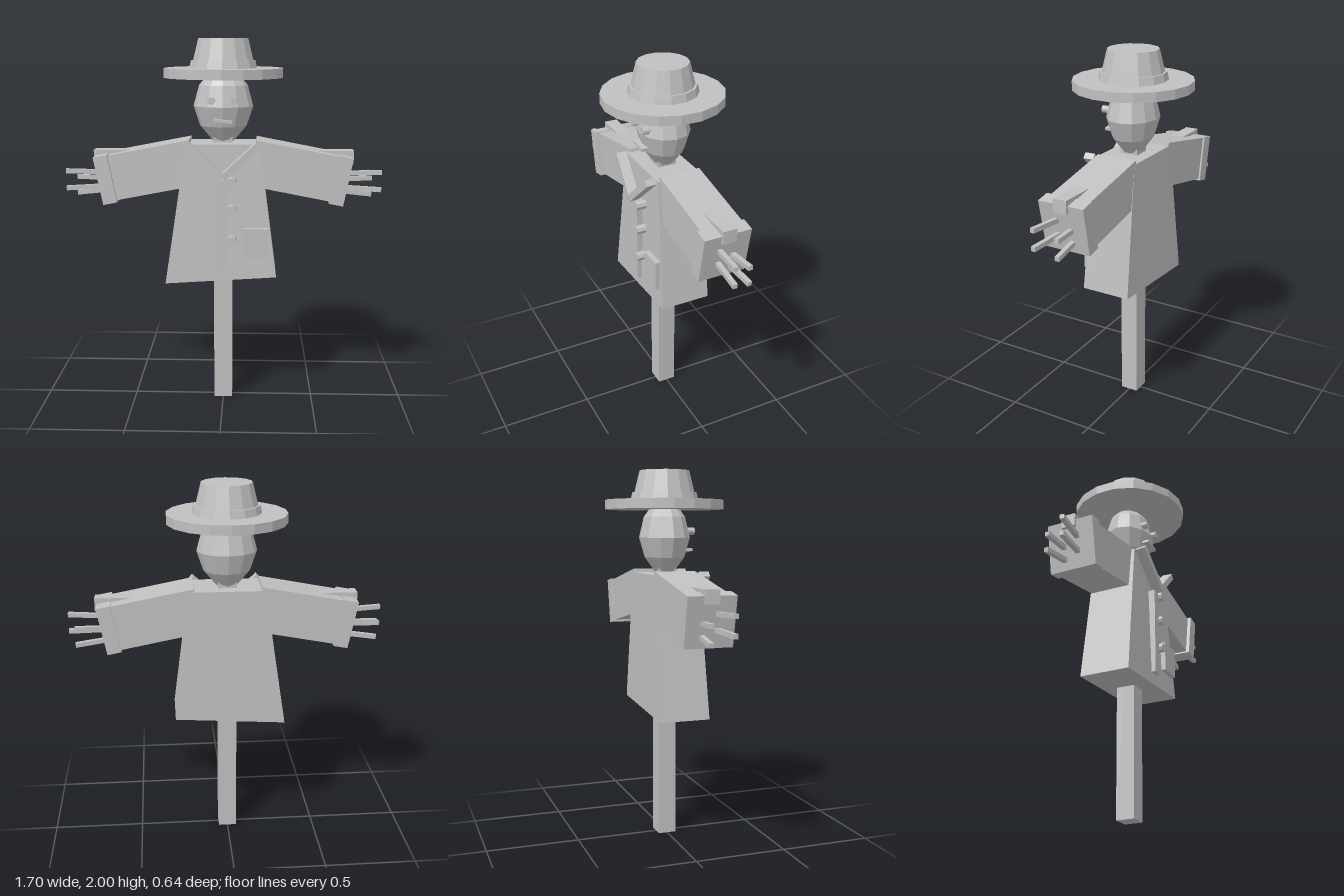
import * as THREE from 'three';

const grey = new THREE.MeshStandardMaterial({ color: 0xc0c0c0, flatShading: true });
grey.name = 'plain grey';

export function createModel() {
  const root = new THREE.Group();
  root.name = 'scarecrow';

  const add = (name, geometry, x = 0, y = 0, z = 0) => {
    const mesh = new THREE.Mesh(geometry, grey);
    mesh.name = name;
    mesh.position.set(x, y, z);
    root.add(mesh);
    return mesh;
  };
  const box = (name, w, h, d, x, y, z) => add(name, new THREE.BoxGeometry(w, h, d), x, y, z);

  // Square bar running from point a to point b
  const beam = (name, a, b, depth, width) => {
    const from = new THREE.Vector3(...a), to = new THREE.Vector3(...b);
    const mid = from.clone().add(to).multiplyScalar(0.5);
    const mesh = box(name, depth, width, from.distanceTo(to), mid.x, mid.y, mid.z);
    mesh.lookAt(to);
    return mesh;
  };

  // Short disc facing forward
  const disc = (name, r, depth, x, y, z, sides) =>
    add(name, new THREE.CylinderGeometry(r, r, depth, sides).rotateX(Math.PI / 2), x, y, z);

  // Wooden frame
  box('post', 0.1, 1.5, 0.1, 0, 0.75, 0);
  box('crossbar', 1.4, 0.07, 0.075, 0, 1.375, -0.003);

  // Coat: flared body with a crooked hem
  const coat = new THREE.BoxGeometry(2, 2, 2);
  const p = coat.attributes.position;
  for (let i = 0; i < p.count; i++) {
    const x = p.getX(i), top = p.getY(i) > 0, front = p.getZ(i) > 0;
    if (top) p.setXYZ(i, 0.195 * x, 1.453, front ? 0.125 : -0.118);
    else p.setXYZ(i, 0.3 * x - 0.01, 0.715 + 0.02 * x, front ? 0.145 : -0.13);
  }
  coat.computeVertexNormals();
  add('coat', coat);

  // Coat front: placket, buttons, pocket
  box('placket', 0.048, 0.49, 0.04, 0, 1.025, 0.147);
  for (const y of [1.258, 1.11, 0.943]) disc('button', 0.025, 0.06, 0.05, y, 0.156, 8);
  box('pocket', 0.135, 0.165, 0.04, 0.178, 0.924, 0.146);

  // Sleeves, cuffs, lapels and straw hands on both sides
  const droop = 0.19;
  const straws = [
    // inner y, outer y, outer x, inner z, outer z
    [1.288, 1.297, 0.85, 0.03, 0.05],
    [1.245, 1.25, 0.81, -0.035, -0.055],
    [1.215, 1.203, 0.85, 0.03, 0.05],
    [1.185, 1.16, 0.81, -0.035, -0.055],
  ];
  for (const s of [1, -1]) {
    const side = s > 0 ? 'left' : 'right';
    box(side + 'Sleeve', 0.47, 0.245, 0.225, s * 0.388, 1.307, -0.005).rotation.z = -s * droop;
    box(side + 'Cuff', 0.076, 0.26, 0.255, s * 0.628, 1.259, 0).rotation.z = -s * droop;
    beam(side + 'Lapel', [s * 0.186, 1.455, 0.16], [0, 1.283, 0.175], 0.056, 0.035);
    for (const [y0, y1, x1, z0, z1] of straws)
      beam(side + 'Straw', [s * 0.6, y0, z0], [s * x1, y1, z1], 0.024, 0.024);
  }

  // Head: faceted sack, a little flatter front to back
  const sack = [[0, 1.46], [0.06, 1.463], [0.125, 1.54], [0.16, 1.645], [0.13, 1.755], [0.08, 1.815], [0, 1.83]];
  const head = new THREE.LatheGeometry(sack.map(([x, y]) => new THREE.Vector2(x, y)), 12);
  add('head', head).scale.z = 0.85;

  // Face
  for (const s of [1, -1]) disc('eye', 0.02, 0.05, s * 0.06, 1.68, 0.122, 10);
  box('mouth', 0.1, 0.014, 0.05, 0, 1.575, 0.12).rotation.z = -0.12;

  // Hat
  add('hatBrim', new THREE.CylinderGeometry(0.318, 0.318, 0.05, 18), 0, 1.82, 0);
  add('hatCrown', new THREE.CylinderGeometry(0.134, 0.175, 0.165, 14), 0, 1.9175, 0);
  add('hatBand', new THREE.CylinderGeometry(0.174, 0.184, 0.042, 14), 0, 1.864, 0);

  return root;
}
